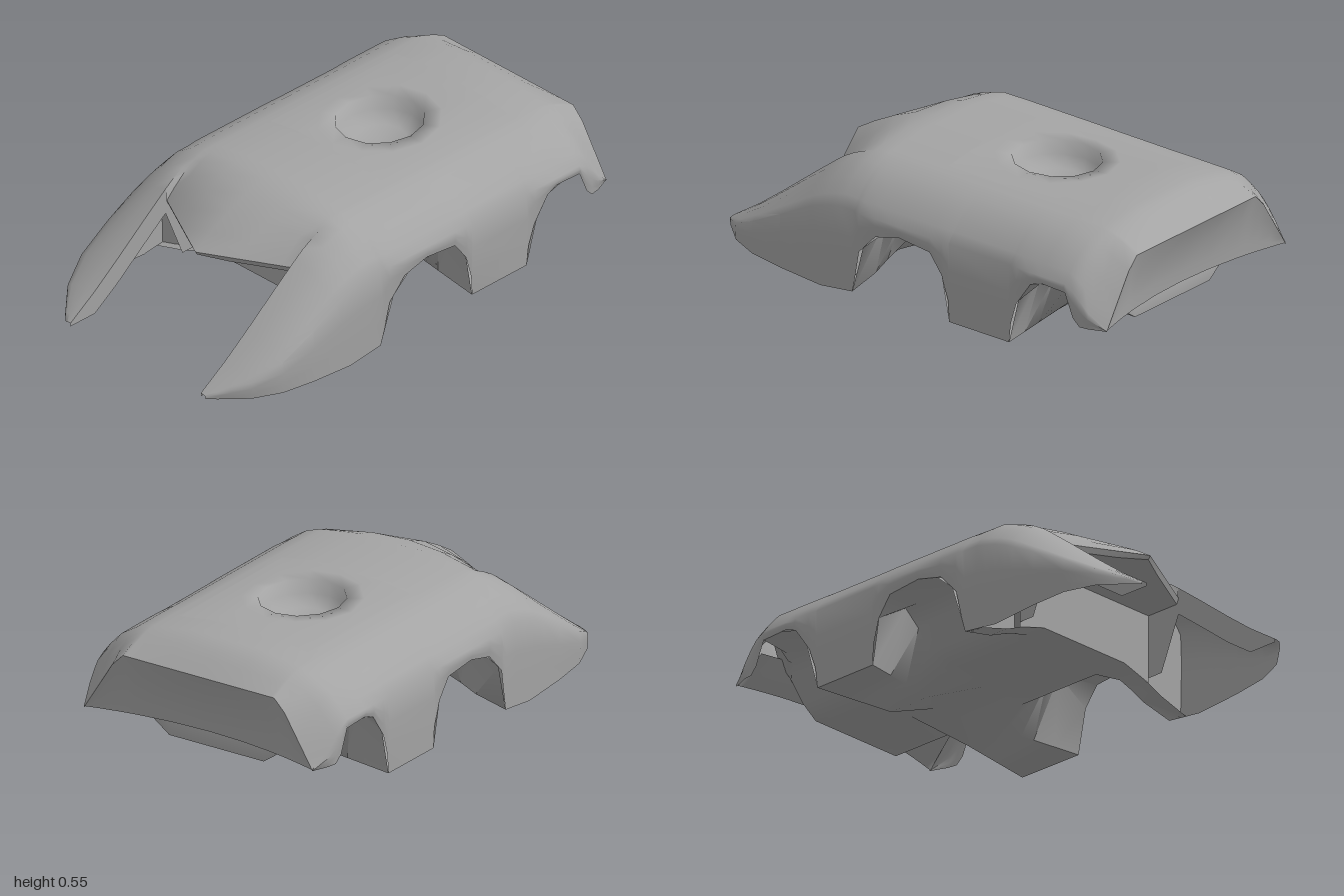
import * as THREE from 'three';
import { toCreasedNormals } from 'three/addons/utils/BufferGeometryUtils.js';

const material = new THREE.MeshStandardMaterial({ color: 0xa4a4a4, side: THREE.DoubleSide });

// Linear lookup in a list of [position, value] sorted by falling position
function lookup(table, p) {
  for (let i = 1; i < table.length; i++) {
    const [a, va] = table[i - 1], [b, vb] = table[i];
    if (p >= b) return va + (vb - va) * THREE.MathUtils.clamp((a - p) / (a - b), 0, 1);
  }
  return table[table.length - 1][1];
}

// Surface through rows of points; cells for which skip(row, column) is true are left out
function surface(name, rows, crease = 0.9, skip = () => false) {
  const n = rows[0].length, index = [];
  for (let r = 0; r < rows.length - 1; r++) {
    for (let c = 0; c < n - 1; c++) {
      if (skip(r, c)) continue;
      const a = r * n + c, b = a + n;
      index.push(a, b, a + 1, a + 1, b, b + 1);
    }
  }
  const geo = new THREE.BufferGeometry();
  geo.setAttribute('position', new THREE.Float32BufferAttribute(rows.flat(2), 3));
  geo.setIndex(index);
  const mesh = new THREE.Mesh(toCreasedNormals(geo, crease), material);
  mesh.name = name;
  return mesh;
}

// Full row, left to right as seen from behind, from a half row that starts on the centre line
const mirrored = (half) => [...half.slice(1).reverse(), ...half.map(([x, y, z]) => [-x, y, z])];

// Half cross-section of the roof and shoulder
const PROFILE = [[0, 0.55], [0.16, 0.55], [0.3, 0.53], [0.338, 0.523], [0.352, 0.52], [0.41, 0.5], [0.48, 0.455], [0.53, 0.4], [0.56, 0.36]];
const RIDGE = 4; // profile point on the inner edge of the prongs
// Lower edge of the side, with both wheel arches
const EDGE = [[1, 0.035], [0.8, 0.03], [0.4, 0], [0.24, 0.02], [0.225, 0.08], [0.2, 0.2], [0.12, 0.285], [0, 0.315],
  [-0.15, 0.3], [-0.21, 0.22], [-0.24, 0.12], [-0.245, 0.035], [-0.54, 0.035], [-0.55, 0.12], [-0.58, 0.21],
  [-0.65, 0.31], [-0.7, 0.33], [-0.82, 0.325], [-0.86, 0.23], [-0.89, 0.2], [-1, 0.2]];
// Height factor and shoulder width factor along the length
const HEIGHT = [[1, 0.03], [0.85, 0.24], [0.6, 0.65], [0.49, 0.82], [0.44, 0.89], [0.38, 0.95], [0.3, 1], [-1, 1]];
const WIDTH = [[1, 0.12], [0.97, 0.28], [0.87, 0.7], [0.75, 0.93], [0.6, 0.99], [0.24, 1], [0.2, 1.04], [-0.2, 1.04],
  [-0.3, 1], [-0.52, 1], [-0.6, 1.04], [-0.87, 1.03], [-0.95, 0.97], [-1, 0.85]];

function halfSection(z) {
  const k = lookup(HEIGHT, z), b = lookup(EDGE, z), w = lookup(WIDTH, z);
  const wide = (x) => (x > 0.352 ? 0.352 + (x - 0.352) * w : x);
  // Towards the tail the section turns into a flat top with chamfered corners
  const tail = Math.max(0, (-0.82 - z) / 0.18) ** 1.5;
  const pts = PROFILE.map(([px, py]) => {
    const x = wide(px), y = py * k + b * (1 - k);
    return [x, y + (0.46 - 1.6 * Math.max(0, x - 0.37) - y) * tail, z];
  });
  const low = pts[pts.length - 1][1];
  for (const t of [0.35, 0.7, 1]) pts.push([wide(0.568 - 0.008 * t), low + (b - low) * t, z]);
  return pts;
}

// Hood: the middle of the section runs forward to a point and drops to a level lip
const LIP = 0.385;
const noseZ = (x) => 0.68 - 0.19 * x / 0.352;
function hoodSection(z) {
  const u = (z - 0.3) / 0.19;
  return halfSection(z).map((p, i) => {
    if (i >= RIDGE) return p;
    const [x, y] = PROFILE[i];
    return [x, y + (LIP - y) * u ** 1.5, 0.3 + (noseZ(x) - 0.3) * u];
  });
}

export function createModel() {
  const model = new THREE.Group();

  // Shell: prongs, hood, roof, shoulders and sides with arches
  const prongZ = [1, 0.97, 0.93, 0.87, 0.75, 0.6];
  const hoodZ = [0.49, 0.45, 0.4, 0.35, 0.3];
  const dentZ = [-0.02, -0.7];
  const bodyZ = [0.24, ...dentZ, -0.93, ...EDGE.map((e) => e[0]).filter((z) => z < 0.24)];
  const backZ = [...new Set(bodyZ)].sort((a, b) => b - a);
  const allZ = [...prongZ, ...hoodZ, ...backZ];
  const isOpen = (r, c) => (r < prongZ.length && c > 6 && c < 15)
    || (c > 8 && c < 13 && allZ[r] <= dentZ[0] && allZ[r + 1] >= dentZ[1]);
  const rows = allZ.map((z) => mirrored(hoodZ.includes(z) ? hoodSection(z) : halfSection(z)));
  model.add(surface('shell', rows, 1, isOpen));

  // Round recess in the roof, set in the opening left in the shell and shaded softly into it
  const xs = [-0.3, -0.16, 0, 0.16, 0.3], mid = -0.32;
  const height = (x) => lookup([[0.3, 0.53], [0.16, 0.55], [0, 0.55]], Math.abs(x));
  const square = [
    ...xs.map((x) => [x, height(x), dentZ[0]]), [0.3, 0.53, mid],
    ...xs.slice().reverse().map((x) => [x, height(x), dentZ[1]]), [-0.3, 0.53, mid],
  ];
  square.push(square[0]);
  const ring = (r, y) => square.map((_, i) => {
    const a = (i - 2) * Math.PI / 6;
    const x = Math.sin(a) * r;
    return [x, y ?? height(x) - 0.001, -0.31 + Math.cos(a) * r * 1.09];
  });
  const dent = [square, ring(0.23), ring(0.166, 0.543), ring(0.164, 0.485), ring(0.1, 0.455), ring(0, 0.445)];
  model.add(surface('roofRecess', dent, 1.7));

  // Thin hood lip, its underside and the recessed front panel
  const cols = [0, 0.11, 0.22, 0.3, 0.352];
  const nose = [
    cols.map((x) => [x, 0.12 - 0.3 * Math.max(0, x - 0.22), 0.33]),
    cols.map((x) => [x, 0.362, 0.33]),
    cols.map((x) => [x, 0.362 + (x === 0 ? 0.008 : 0), noseZ(x) - 0.01]),
    cols.map((x) => [x, LIP, noseZ(x)]),
  ];
  model.add(surface('frontPanelAndLip', nose.map(mirrored), 0.7));

  for (const side of [1, -1]) {
    // Inner flange of the prong, deepening towards the front panel
    const flange = [...prongZ, 0.49, 0.4, 0.33].map((z) => {
      const [x, y] = halfSection(z)[RIDGE];
      return [[x * side, y, z], [x * side, z < 0.45 ? 0.1 : Math.max(y - 0.11, 0.035), z]];
    });
    model.add(surface(side > 0 ? 'leftProngFlange' : 'rightProngFlange', flange));

    // Bulkhead closing the prong behind, ahead of the wheel well
    const outer = halfSection(0.3).slice(RIDGE);
    model.add(surface('prongBulkhead', [outer.map((p) => [p[0] * side, p[1], 0.3]),
      outer.map((p, i) => [side * (0.352 + 0.208 * i / 7), 0.08 - 0.07 * i / 7, 0.3])]));
  }

  // Underside: central hull, wheel wells and the cross-member, which narrows towards the centre
  const WELL = [[0, 0.12], [0.22, 0.12], [0.29, 0.17], [0.35, 0.25], [0.42, 0.31]];
  const BEAM = [[0, 0.11], [0.21, 0.035], [0.29, 0.035], [0.35, 0.035], [0.45, 0.035]];
  const NOSE = [[0, 0.12], [0.22, 0.12], [0.29, 0.1], [0.35, 0.08], [0.42, 0.05]];
  const under = (z, pts, inset = 0) => [
    ...pts.map(([x, y]) => [x, y, z + inset * (1 - x / 0.56)]), halfSection(z).pop(),
  ];
  const floor = [
    under(0.33, NOSE), under(0.24, NOSE), under(0.18, WELL), under(0.1, WELL), under(0, WELL), under(-0.15, WELL),
    under(-0.21, WELL), under(-0.245, BEAM, -0.08), under(-0.54, BEAM, 0.08), under(-0.59, WELL), under(-0.65, WELL),
    under(-0.72, WELL), under(-0.82, WELL),
  ];
  // Rear end of the hull turns up behind the wheels
  floor.push([...WELL.map(([x, y]) => [x, y, -0.88]), [0.5, 0.33, -0.83]]);
  floor.push([...WELL.map(([x, y]) => [x, Math.max(y, 0.2), -0.885]), [0.5, 0.33, -0.83]]);
  floor.push([...WELL.map(([x]) => [x, 0.29, -0.83]), [0.5, 0.34, -0.82]]);
  model.add(surface('underside', floor.map((r) => mirrored(r).reverse()), 1.3));

  // Tail: concave rear panel with a lip folding inward
  const edge = halfSection(-1);
  const drop = (t, depth, lift) => edge.map(([x, y]) => {
    const c = Math.max(0, 1 - (x / 0.53) ** 2);
    return [x * (1 - lift * 0.3), y + (0.205 - y) * t + lift, -1 + depth * c + lift * 1.2];
  });
  const tail = [drop(0, 0, 0), drop(0.4, 0.05, 0), drop(0.8, 0.07, 0), drop(1, 0.075, 0), drop(1, 0.08, 0.04), drop(1, 0.06, 0.1)];
  model.add(surface('tailPanel', tail.map(mirrored), 0.9));

  return model;
}
